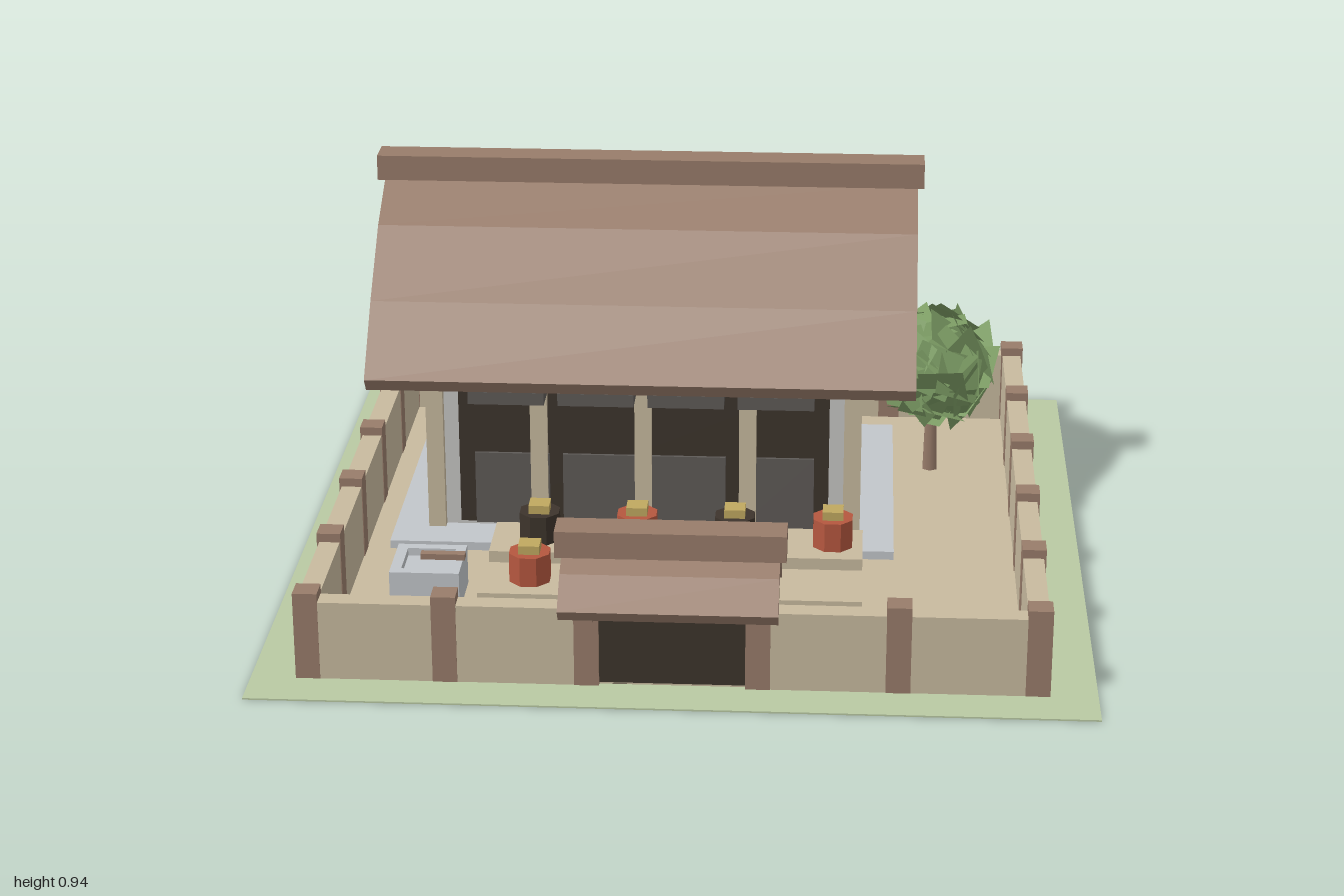
import * as THREE from 'three';

const paint = (name, color) => Object.assign(new THREE.MeshStandardMaterial({ color }), { name });

export function createModel() {
  const grass = paint('grass green', 0xb9c9a3), tan = paint('pale timber', 0xc8ba9f);
  const wood = paint('brown wood', 0x987c6a), plaster = paint('plaster', 0xc6c6c4);
  const stone = paint('stone', 0xc2c6ca), dark = paint('dark interior', 0x3d342c);
  const slate = paint('shutter grey', 0x5e5a57), gold = paint('gold', 0xc0a860);
  const red = paint('jar red', 0xb5573f), leaf = paint('leaf green', 0x7c9c64);
  leaf.side = THREE.DoubleSide;

  const model = new THREE.Group();
  const group = (name) => {
    const g = new THREE.Group();
    g.name = name;
    model.add(g);
    return g;
  };
  const add = (parent, name, geo, mat, x = 0, y = 0, z = 0) => {
    const m = new THREE.Mesh(geo, mat);
    m.name = name;
    m.position.set(x, y, z);
    parent.add(m);
    return m;
  };
  // Box given by its extents on each axis
  const box = (parent, name, mat, x0, x1, y0, y1, z0, z1) =>
    add(parent, name, new THREE.BoxGeometry(x1 - x0, y1 - y0, z1 - z0), mat,
      (x0 + x1) / 2, (y0 + y1) / 2, (z0 + z1) / 2);
  // Profile in the z-y plane, extruded along x between x0 and x1
  const prism = (parent, name, mat, pts, x0, x1, z) => {
    const geo = new THREE.ExtrudeGeometry(new THREE.Shape(pts.map((p) => new THREE.Vector2(...p))),
      { depth: x1 - x0, bevelEnabled: false });
    geo.rotateY(Math.PI / 2);
    return add(parent, name, geo, mat, x0, 0, z);
  };
  const mirrored = (half) => [...half, ...half.slice(0, -1).reverse().map(([u, v]) => [-u, v])];
  // Curved roof sheet: half profile runs from eave to apex, offset downward by the thickness
  const roof = (parent, name, half, t, x0, x1, z) => {
    const top = mirrored(half);
    const low = mirrored(half.map(([u, v], i) => [i ? u : u - t * 0.75, i ? v - t * 1.3 : v - t])).reverse();
    prism(parent, name, wood, [...top, ...low], x0, x1, z);
  };

  // Ground: grass border around packed earth
  const ground = group('ground');
  const square = (r) => [[-r, -r], [r, -r], [r, r], [-r, r]].map((p) => new THREE.Vector2(...p));
  const border = new THREE.Shape(square(0.993));
  border.holes.push(new THREE.Path(square(0.87).reverse()));
  const borderGeo = new THREE.ExtrudeGeometry(border, { depth: 0.004, bevelEnabled: false });
  borderGeo.rotateX(-Math.PI / 2);
  add(ground, 'grassBorder', borderGeo, grass, 0, 0, -0.007);
  box(ground, 'courtyard', tan, -0.87, 0.87, 0, 0.008, -0.875, 0.865);

  // Perimeter wall with posts
  const wall = group('perimeterWall');
  box(wall, 'backWall', tan, -0.88, 0.875, 0, 0.2, -0.885, -0.835);
  for (const x of [-0.88, 0.825]) box(wall, 'sideWall', tan, x, x + 0.05, 0, 0.2, -0.835, 0.825);
  box(wall, 'frontWall', tan, -0.88, -0.2, 0, 0.2, 0.825, 0.875);
  box(wall, 'frontWall', tan, 0.2, 0.875, 0, 0.2, 0.825, 0.875);
  const post = (x, z) => box(wall, 'wallPost', wood, x - 0.029, x + 0.029, 0, 0.222, z - 0.029, z + 0.029);
  for (let i = 0; i < 6; i++) {
    const t = -0.857 + i * 0.3415;
    post(t, -0.863);
    if (i > 0) for (const x of [-0.857, 0.852]) post(x, -0.863 + i * 0.342);
  }
  post(0.852, -0.863);
  for (const x of [-0.533, -0.2, 0.2, 0.527]) post(x, 0.848);

  // Gate with its own small roof
  const gate = group('gate');
  box(gate, 'gateDoor', dark, -0.172, 0.172, 0, 0.18, 0.835, 0.865);
  for (const x of [-0.2, 0.2]) {
    box(gate, 'gateBeam', wood, x - 0.022, x + 0.022, 0.197, 0.222, 0.745, 0.95);
    prism(gate, 'gateGable', plaster, [[0.1, 0.22], [0.1, 0.25], [0, 0.31], [-0.1, 0.25], [-0.1, 0.22]],
      x - 0.015, x + 0.015, 0.847);
  }
  roof(gate, 'gateRoof', [[0.152, 0.25], [0.075, 0.31], [0, 0.345]], 0.03, -0.255, 0.25, 0.847);
  box(gate, 'gateRidge', wood, -0.27, 0.265, 0.335, 0.4, 0.805, 0.888);

  // House body on a stone platform
  const house = group('house');
  const zc = -0.288;
  box(house, 'stonePlatform', stone, -0.77, 0.52, 0, 0.03, -0.72, 0.14);
  prism(house, 'plasterBody', plaster,
    mirrored([[0.308, 0.03], [0.308, 0.58], [0.155, 0.73], [0, 0.81]]), -0.66, 0.41, zc);
  box(house, 'openFront', dark, -0.6, 0.35, 0.04, 0.45, 0.02, 0.025);
  for (let i = 0; i < 5; i++) {
    const x = -0.66 + i * 0.2675;
    for (const z of [0.022, -0.617])
      box(house, 'housePost', tan, x - 0.022, x + 0.022, 0.03, 0.46, z - 0.022, z + 0.022);
    if (i === 4) continue;
    const c = -0.463 + i * 0.2265;
    box(house, 'raisedShutter', slate, c - 0.096, c + 0.096, 0.415, 0.448, 0.05, 0.15);
    box(house, 'lowerShutter', slate, c - 0.096, c + 0.096, 0.04, 0.235, 0.026, 0.034);
  }
  for (const z of [0.042, -0.618]) box(house, 'eaveBeam', tan, -0.69, 0.44, 0.45, 0.503, z - 0.023, z + 0.023);

  // Gable ends: windows, timber framing and gilded beam ends
  for (const s of [-1, 1]) {
    const side = (name, mat, depth, y0, y1, z0, z1, start = 0) => {
      const e = -0.125 + s * (0.535 + start), f = e + s * depth;
      box(house, name, mat, Math.min(e, f), Math.max(e, f), y0, y1, z0, z1);
    };
    side('sideWindow', dark, 0.006, 0.225, 0.44, -0.42, -0.155);
    side('sideShutter', slate, 0.009, 0.225, 0.44, -0.158, -0.1);
    side('sideShutter', slate, 0.009, 0.225, 0.44, -0.475, -0.417);
    side('tieBeam', wood, 0.035, 0.44, 0.49, -0.6, 0.02);
    side('gableRail', wood, 0.02, 0.615, 0.638, -0.45, -0.13);
    [0.69, 0.75, 0.8, 0.75, 0.69].forEach((h, i) => {
      const z = -0.141 - i * 0.0725;
      side('gableStrut', wood, 0.025, 0.49, h, z - 0.011, z + 0.011);
    });
    for (const z of [-0.127, -0.452]) side('gildedBeamEnd', gold, 0.05, 0.62, 0.66, z - 0.022, z + 0.022);
    side('gildedCrest', gold, 0.05, 0.755, 0.81, -0.335, -0.29);
    side('ridgePendant', wood, 0.09, 0.725, 0.83, -0.316, -0.26, 0.05);
  }

  // Main roof and ridge
  roof(house, 'mainRoof', [[0.467, 0.485], [0.32, 0.643], [0.153, 0.79], [0, 0.875]], 0.036, -0.815, 0.565, zc);
  box(house, 'roofRidge', wood, -0.83, 0.58, 0.875, 0.94, -0.332, -0.248);

  // Benches carrying eight-sided jars
  const yard = group('courtyardDisplay');
  const jarGeo = new THREE.CylinderGeometry(0.053, 0.053, 0.075, 8).toNonIndexed();
  jarGeo.rotateY(Math.PI / 8);
  jarGeo.computeVertexNormals();
  [[0.255, 4, 0], [0.5, 3, 1]].forEach(([z, count, shift]) => {
    box(yard, 'bench', tan, -0.49, 0.44, 0, 0.1, z - 0.09, z + 0.09);
    for (let i = 0; i < count; i++) {
      const x = -0.37 + i * 0.245;
      add(yard, 'jar', jarGeo, (i + shift) % 2 ? red : dark, x, 0.1375, z);
      box(yard, 'jarLid', gold, x - 0.026, x + 0.026, 0.175, 0.197, z - 0.026, z + 0.026);
    }
  });

  // Stone water basin with a ladle
  const basin = group('waterBasin');
  for (const [x0, x1, z0, z1] of [[-0.717, -0.69, 0.335, 0.505], [-0.57, -0.545, 0.335, 0.505],
    [-0.69, -0.57, 0.335, 0.36], [-0.69, -0.57, 0.48, 0.505]])
    box(basin, 'basinRim', stone, x0, x1, 0, 0.11, z0, z1);
  box(basin, 'water', stone, -0.69, -0.57, 0, 0.09, 0.36, 0.48);
  box(basin, 'ladle', wood, -0.65, -0.54, 0.11, 0.125, 0.404, 0.426);

  // Tree of angled leaf sheets spread over an ellipsoid
  const tree = group('tree');
  add(tree, 'trunk', new THREE.CylinderGeometry(0.015, 0.022, 0.26, 6), wood, 0.62, 0.13, -0.47);
  let seed = 7;
  const rnd = () => (seed = (seed * 16807) % 2147483647) / 2147483647;
  const sheet = new THREE.PlaneGeometry(0.13, 0.12);
  for (let i = 0; i < 60; i++) {
    const v = 1 - (2 * (i + 0.5)) / 60, a = i * 2.39996, r = Math.sqrt(1 - v * v);
    const d = new THREE.Vector3(r * Math.cos(a), v, r * Math.sin(a));
    const m = add(tree, 'leafSheet', sheet, leaf, 0.625 + d.x * 0.125, 0.315 + d.y * 0.115, -0.47 + d.z * 0.18);
    m.lookAt(m.position.clone().add(d).add(new THREE.Vector3(rnd() - 0.5, rnd() - 0.5, rnd() - 0.5)));
    m.rotateZ(rnd() * 3);
  }
  return model;
}
